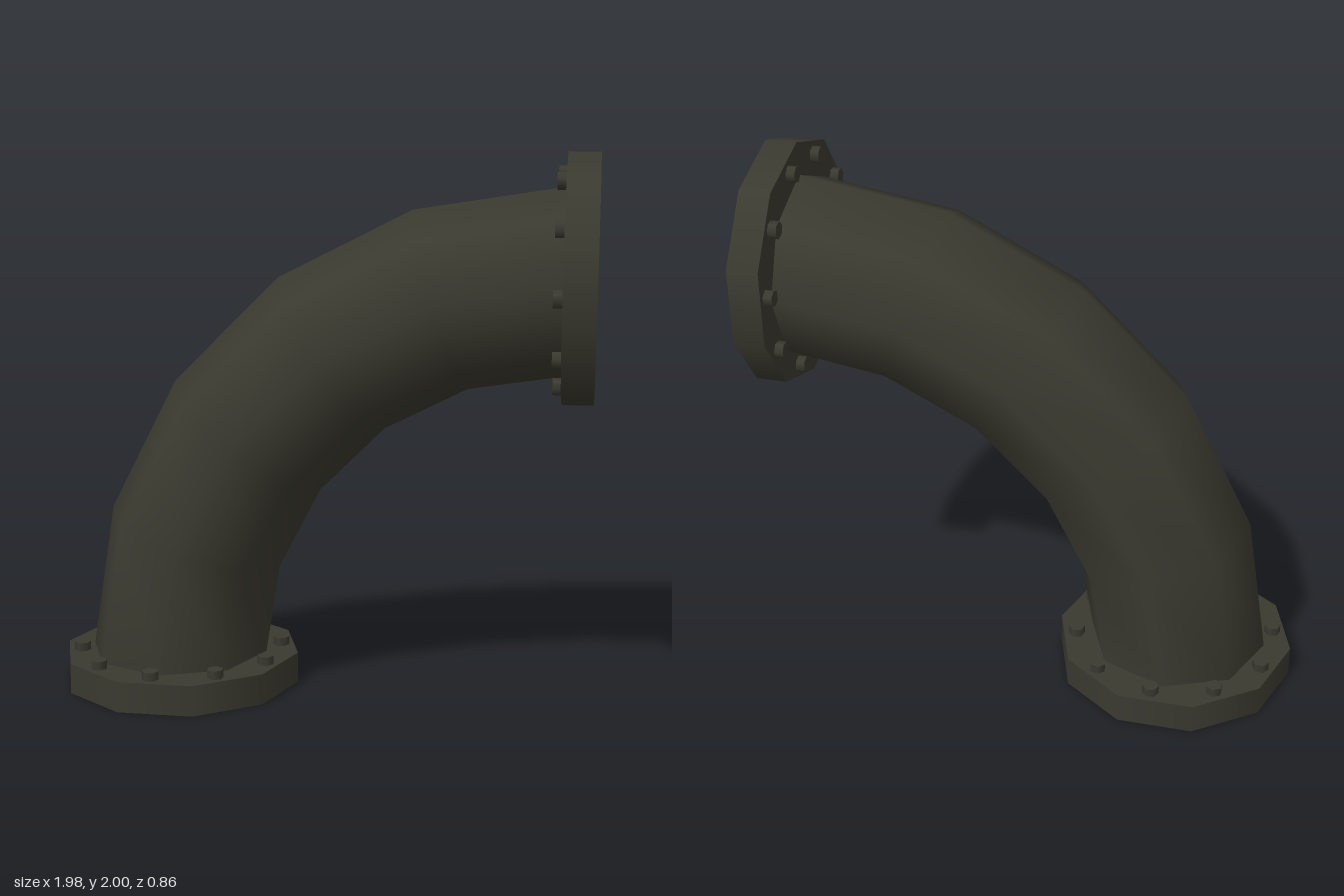
import * as THREE from 'three';

const castIron = new THREE.MeshStandardMaterial({ color: 0x3b3a30, side: THREE.DoubleSide });
castIron.name = 'dark cast iron';

const FLANGE_RADIUS = 0.45, FLANGE_DEPTH = 0.115;
const BOLT_COUNT = 10, BOLT_CIRCLE = 0.38, BOLT_RADIUS = 0.031, BOLT_HEIGHT = 0.032;

function addMesh(parent, name, geometry) {
  const mesh = new THREE.Mesh(geometry, castIron);
  mesh.name = name;
  parent.add(mesh);
  return mesh;
}

// Hollow ten-sided collar, open on its outer end, with a ring of bolts on its plate
function createFlange(name) {
  const flange = new THREE.Group();
  flange.name = name;

  const rim = addMesh(flange, 'flangeRim',
    new THREE.CylinderGeometry(FLANGE_RADIUS, FLANGE_RADIUS, FLANGE_DEPTH, 10, 1, true, Math.PI / 2));
  rim.position.y = FLANGE_DEPTH / 2;

  const plate = addMesh(flange, 'flangePlate',
    new THREE.CircleGeometry(FLANGE_RADIUS, 10).rotateX(-Math.PI / 2));
  plate.position.y = FLANGE_DEPTH;

  const boltGeometry = new THREE.CylinderGeometry(BOLT_RADIUS, BOLT_RADIUS, BOLT_HEIGHT, 6);
  for (let i = 0; i < BOLT_COUNT; i++) {
    const angle = THREE.MathUtils.degToRad(14) + (i / BOLT_COUNT) * Math.PI * 2;
    const bolt = addMesh(flange, 'bolt', boltGeometry);
    bolt.position.set(
      -Math.cos(angle) * BOLT_CIRCLE,
      FLANGE_DEPTH + BOLT_HEIGHT / 2,
      Math.sin(angle) * BOLT_CIRCLE);
    bolt.rotation.y = -angle;
  }
  return flange;
}

export function createModel() {
  const model = new THREE.Group();
  model.name = 'pipeElbow';

  // Quarter bend between the two flange plates
  const pipe = addMesh(model, 'bentPipe',
    new THREE.TorusGeometry(1.425, 0.338, 8, 5, Math.PI / 2).rotateZ(Math.PI / 2));
  pipe.position.set(0.875, FLANGE_DEPTH, 0);

  const baseFlange = createFlange('baseFlange');
  baseFlange.position.set(-0.54, 0, 0);

  // Same collar turned on its side at the upper end
  const sideFlange = createFlange('sideFlange');
  sideFlange.position.set(0.99, 1.55, 0);
  sideFlange.rotation.z = Math.PI / 2;

  model.add(baseFlange, sideFlange);
  return model;
}
